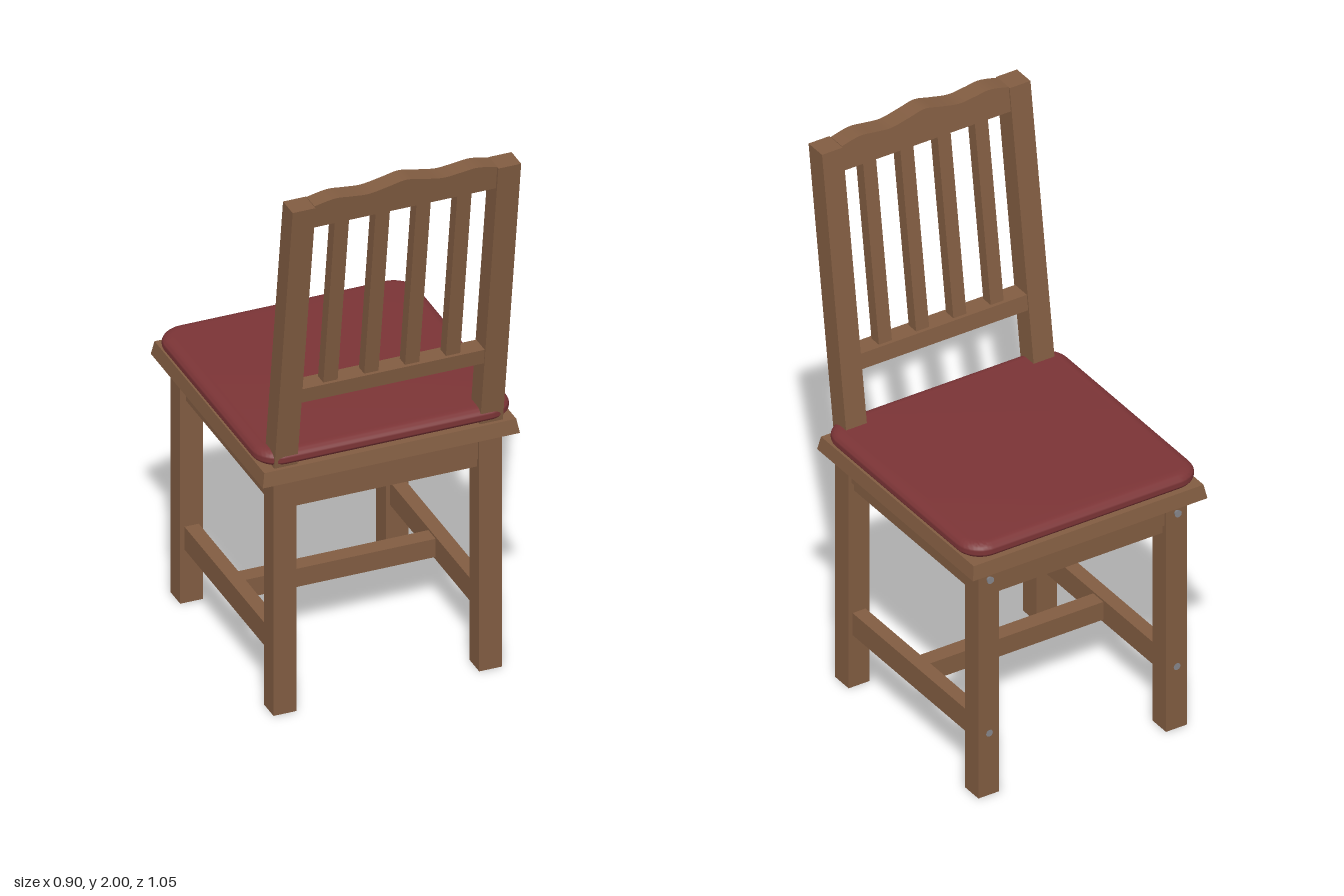
import * as THREE from 'three';
import { toCreasedNormals } from 'three/addons/utils/BufferGeometryUtils.js';

const LEAN = 0.145, BEND_Y = 0.88;

// Lean a geometry backwards above the bend while keeping its level tops
function lean(geo) {
  const p = geo.attributes.position;
  for (let i = 0; i < p.count; i++) p.setZ(i, p.getZ(i) + LEAN * (p.getY(i) - BEND_Y));
  geo.computeVertexNormals();
  return geo;
}

// Box given by its extents
function span(x0, x1, y0, y1, z0, z1) {
  return new THREE.BoxGeometry(x1 - x0, y1 - y0, z1 - z0)
    .translate((x0 + x1) / 2, (y0 + y1) / 2, (z0 + z1) / 2);
}

function roundedRect(w, d, r) {
  const s = new THREE.Shape(), x = w / 2, y = d / 2, q = Math.PI / 2;
  s.absarc(x - r, y - r, r, 0, q);
  s.absarc(-x + r, y - r, r, q, 2 * q);
  s.absarc(-x + r, -y + r, r, 2 * q, 3 * q);
  s.absarc(x - r, -y + r, r, 3 * q, 4 * q);
  return s;
}

export function createModel() {
  const model = new THREE.Group();
  model.name = 'chair';
  const wood = new THREE.MeshStandardMaterial({ color: 0x815c41 });
  wood.name = 'brown wood';
  const fabric = new THREE.MeshStandardMaterial({ color: 0x7b3436 });
  fabric.name = 'red fabric';
  const metal = new THREE.MeshStandardMaterial({ color: 0x85858a });
  metal.name = 'grey metal';

  const add = (name, geo, mat = wood) => {
    const m = new THREE.Mesh(geo, mat);
    m.name = name;
    model.add(m);
    return m;
  };

  for (const s of [-1, 1]) {
    const side = s < 0 ? 'right' : 'left';
    const sideBox = (a, b, ...rest) => span(Math.min(s * a, s * b), Math.max(s * a, s * b), ...rest);

    // Legs and leaning back posts
    add(side + 'PlainLeg', sideBox(0.32, 0.40, 0, 0.89, -0.48, -0.40));
    add(side + 'BackrestLeg', sideBox(0.32, 0.40, 0, 0.88, 0.29, 0.37));
    add(side + 'BackPost', lean(sideBox(0.32, 0.40, 0.88, 1.97, 0.29, 0.37)));

    // Side frame
    add(side + 'Stretcher', sideBox(0.335, 0.385, 0.20, 0.285, -0.40, 0.29));
    add(side + 'Apron', sideBox(0.35, 0.39, 0.79, 0.88, -0.40, 0.29));
    add(side + 'ApronLowerStrip', sideBox(0.34, 0.38, 0.757, 0.79, -0.40, 0.29));
    add(side + 'Trim', sideBox(0.38, 0.415, 0.865, 0.88, -0.40, 0.29));

    // Screws in the plain legs
    for (const [y, len] of [[0.833, 0.012], [0.24, 0.004]]) {
      const screw = new THREE.CylinderGeometry(0.013, 0.009, len, 12).rotateX(-Math.PI / 2);
      add(side + 'Screw', screw.translate(s * 0.36, y, -0.48 - len / 2), metal);
    }
  }

  // Cross frame
  add('crossStretcher', span(-0.34, 0.34, 0.21, 0.278, -0.085, -0.025));
  for (const [name, s, face] of [['plainEnd', -1, -0.48], ['backrestEnd', 1, 0.37]]) {
    const crossBox = (a, b, y0, y1) => {
      const z0 = face - s * a, z1 = face - s * b;
      return span(-0.32, 0.32, y0, y1, Math.min(z0, z1), Math.max(z0, z1));
    };
    add(name + 'Apron', crossBox(0.01, 0.05, 0.79, 0.88));
    add(name + 'ApronLowerStrip', crossBox(0.02, 0.06, 0.757, 0.79));
    add(name + 'Trim', crossBox(0, 0.03, 0.865, 0.88));
  }

  // Seat board, tapering slightly to its top
  const board = new THREE.BoxGeometry(0.9, 0.05, 0.925).toNonIndexed();
  const bp = board.attributes.position;
  for (let i = 0; i < bp.count; i++) {
    if (bp.getY(i) > 0) bp.setXYZ(i, bp.getX(i) * 0.98, bp.getY(i), bp.getZ(i) * 0.98);
  }
  board.computeVertexNormals();
  add('seatBoard', board.translate(0, 0.905, -0.0625));

  // Cushion with a soft rolled edge
  const pad = new THREE.ExtrudeGeometry(roundedRect(0.895, 0.9, 0.09), {
    depth: 0.003, bevelEnabled: true, bevelThickness: 0.027, bevelSize: 0.04,
    bevelOffset: -0.04, bevelSegments: 8, curveSegments: 10,
  }).rotateX(-Math.PI / 2);
  add('cushion', toCreasedNormals(pad, 0.7).translate(0, 0.956, -0.063), fabric);

  // Backrest rail and slats
  add('backRail', lean(span(-0.32, 0.32, 1.175, 1.23, 0.295, 0.365)));
  for (let i = 0; i < 4; i++) {
    const x = -0.2145 + i * 0.143;
    add('backSlat', lean(span(x - 0.025, x + 0.025, 1.22, 1.90, 0.308, 0.352)));
  }

  // Crest rail with a wavy top
  const crest = new THREE.Shape();
  crest.moveTo(-0.32, 1.885);
  crest.lineTo(0.32, 1.885);
  crest.lineTo(0.32, 1.972);
  crest.splineThru([[0.25, 1.986], [0.19, 1.98], [0.13, 1.975], [0.06, 1.988], [0, 2.0],
    [-0.06, 1.988], [-0.13, 1.975], [-0.19, 1.98], [-0.25, 1.986], [-0.32, 1.972]]
    .map(([x, y]) => new THREE.Vector2(x, y)));
  const crestGeo = new THREE.ExtrudeGeometry(crest, { depth: 0.066, bevelEnabled: false, curveSegments: 4 });
  add('crestRail', toCreasedNormals(lean(crestGeo.translate(0, 0, 0.295)), 0.5));

  return model;
}
